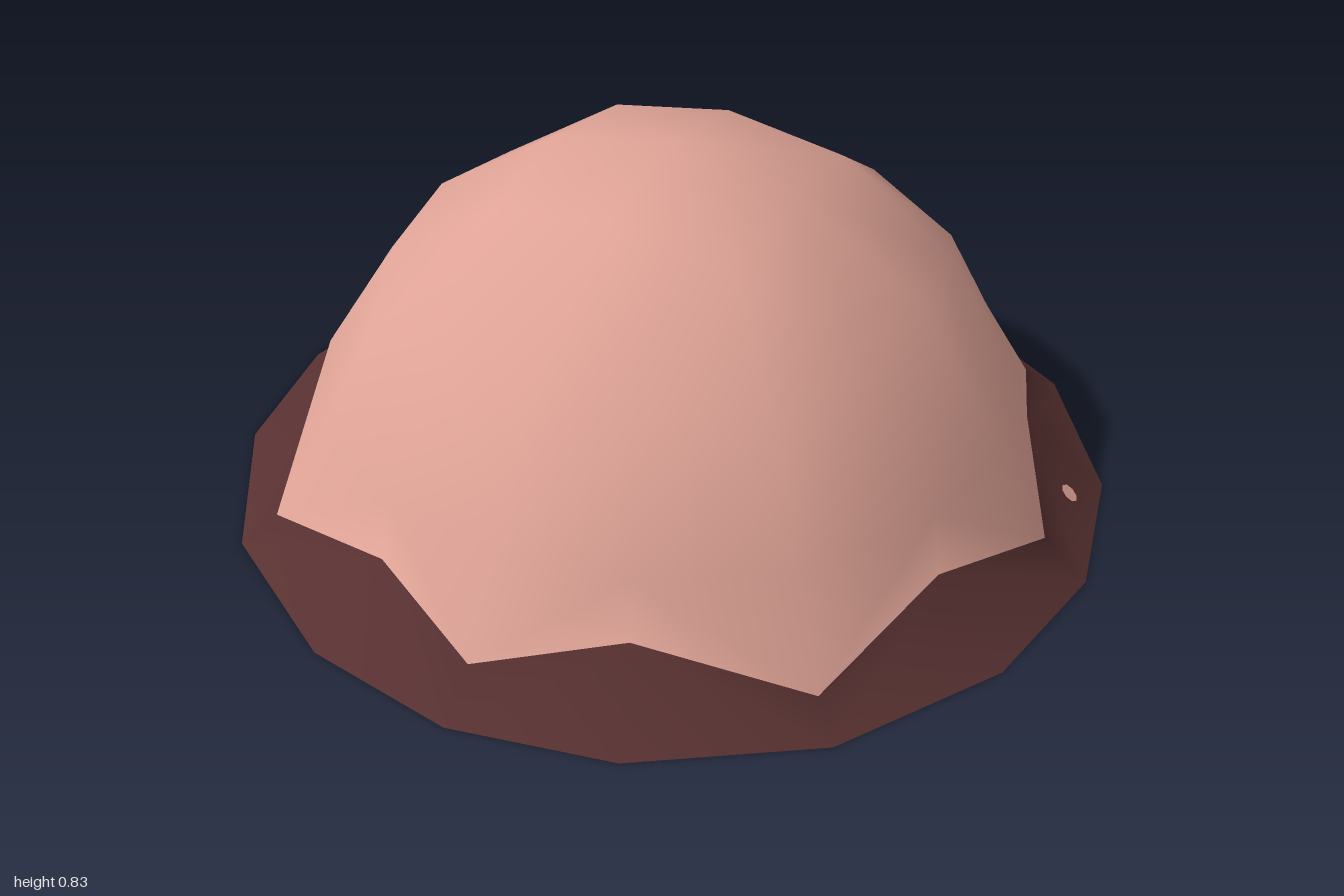
import * as THREE from 'three';
import { mergeVertices } from 'three/addons/utils/BufferGeometryUtils.js';

// One ring of 16 points from its on-axis, in-between and diagonal point
function ring(axis, odd, diag) {
  const quarter = [axis, odd, diag, [odd[2], odd[1], odd[0]]];
  const points = [];
  for (let q = 0; q < 4; q++) {
    for (let [x, y, z] of quarter) {
      for (let t = 0; t < q; t++) [x, z] = [z, -x];
      points.push([x, y, z]);
    }
  }
  return points;
}

// Crown grid: [larger offset, height, smaller offset] by grid distance
const CROWN = [
  [[0, 0.833, 0]],
  [[0.29, 0.78, 0], [0.28, 0.737, 0.28]],
  [[0.59, 0.59, 0], [0.56, 0.562, 0.255], [0.482, 0.482, 0.482]],
];
function crownPoint(i, j) {
  const a = Math.abs(i), b = Math.abs(j);
  const [big, y, small] = CROWN[Math.max(a, b)][Math.min(a, b)];
  return [Math.sign(i) * (a >= b ? big : small), y, Math.sign(j) * (a >= b ? small : big)];
}

export function createModel() {
  const pink = new THREE.MeshStandardMaterial({ color: 0xdfa396, side: THREE.DoubleSide });
  pink.name = 'dusty pink';
  const maroon = new THREE.MeshStandardMaterial({ color: 0x583131, side: THREE.DoubleSide });
  maroon.name = 'dark maroon';

  const soup = [];
  const tri = (...corners) => corners.forEach((p) => soup.push(...p));
  const band = (upper, lower) => {
    for (let k = 0; k < 16; k++) {
      const n = (k + 1) % 16;
      const [a, b, c, d] = [upper[k], lower[k], lower[n], upper[n]];
      if (k % 2) { tri(a, b, c); tri(a, c, d); } else { tri(a, b, d); tri(b, c, d); }
    }
  };

  // Rounded crown, a 4 x 4 grid bent onto the sphere
  for (let i = -2; i < 2; i++) {
    for (let j = -2; j < 2; j++) {
      const a = crownPoint(i, j), b = crownPoint(i, j + 1);
      const c = crownPoint(i + 1, j + 1), d = crownPoint(i + 1, j);
      if (i * j >= 0 && (i < 0) === (j < 0)) { tri(a, b, c); tri(a, c, d); }
      else { tri(a, b, d); tri(b, c, d); }
    }
  }

  // Walls flaring to a zigzag edge, then the skirt
  const shoulder = ring([0, 0.59, 0.59], [0.255, 0.562, 0.56], [0.482, 0.482, 0.482]);
  const waist = ring([0, 0.29, 0.78], [0.28, 0.28, 0.737], [0.56, 0.27, 0.56]);
  const zigzag = ring([0, 0.085, 0.9], [0.29, 0.145, 0.76], [0.648, 0.06, 0.648]);
  const rim = ring([0, 0, 1], [0.355, 0, 0.932], [0.707, 0, 0.707]);
  band(shoulder, waist);
  band(waist, zigzag);
  const domeCount = soup.length / 3;
  band(zigzag, rim);

  let shell = new THREE.BufferGeometry();
  shell.setAttribute('position', new THREE.Float32BufferAttribute(soup, 3));
  shell = mergeVertices(shell, 1e-3);
  shell.computeVertexNormals();
  shell.addGroup(0, domeCount, 0);
  shell.addGroup(domeCount, soup.length / 3 - domeCount, 1);

  const group = new THREE.Group();
  group.name = 'dome';
  const body = new THREE.Mesh(shell, [pink, maroon]);
  body.name = 'domeAndSkirt';
  group.add(body);

  // Small pale spot lying on the skirt
  const normal = new THREE.Vector3(0.0522, 0.0661, -0.0101).normalize();
  const spot = new THREE.Mesh(new THREE.CircleGeometry(0.023, 8), pink);
  spot.name = 'skirtSpot';
  spot.quaternion.setFromUnitVectors(new THREE.Vector3(0, 0, 1), normal);
  spot.position.set(0.887, 0.051, -0.217).addScaledVector(normal, 0.006);
  group.add(spot);

  return group;
}
